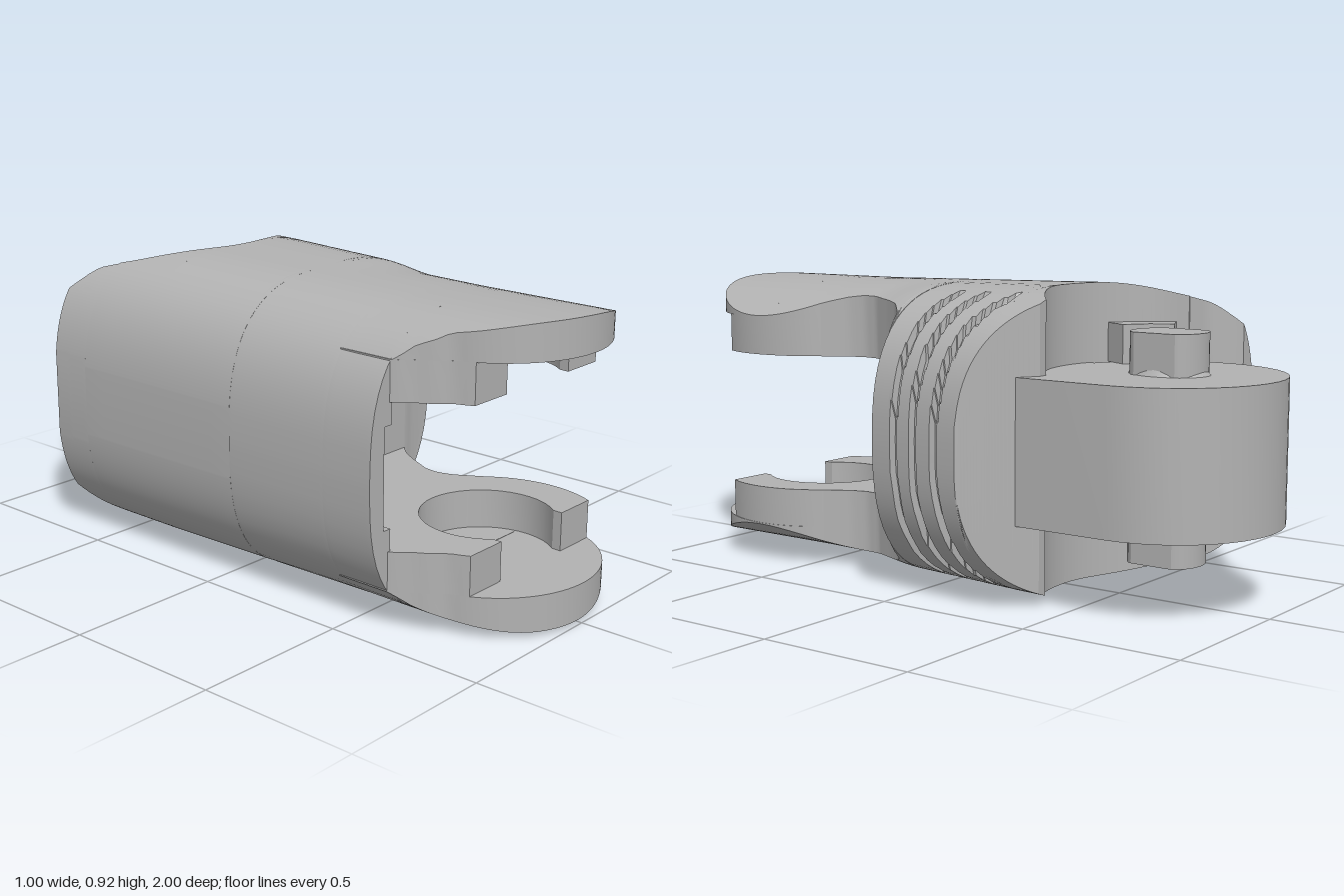
import * as THREE from 'three';
import { toCreasedNormals } from 'three/addons/utils/BufferGeometryUtils.js';

const MID = 0.46;      // height of the symmetry plane
const SLOT = 0.215;    // half height of the tongue and its slot
const POCKET = 0.335;  // half height of the pin pockets
const { smoothstep, lerp, clamp } = THREE.MathUtils;

// piecewise-linear lookup in [[z, x], ...]
function lookup(table, z) {
  if (z <= table[0][0]) return table[0][1];
  for (let i = 1; i < table.length; i++) {
    const [z0, x0] = table[i - 1], [z1, x1] = table[i];
    if (z <= z1) return lerp(x0, x1, (z - z0) / (z1 - z0));
  }
  return table[table.length - 1][1];
}

const rightTable = [[-0.4, 0.28], [-0.26, 0.499], [0.08, 0.455], [0.082, 0.37], [0.1, 0.31], [0.14, 0.27],
  [0.2, 0.235], [0.28, 0.195], [0.33, 0.19], [0.38, 0.205], [0.45, 0.248]];
const leftTable = [[0.63, -0.42], [0.64, -0.42], [0.68, -0.38], [0.73, -0.35], [0.76, -0.318]];
const lobe = z => Math.sqrt(Math.max(0.33 ** 2 - (z - 0.67) ** 2, 1e-6));
const planRight = z => z > 0.45 ? lobe(z) : lookup(rightTable, z);
const planLeft = z => z > 0.76 ? -lobe(z) : lookup(leftTable, z);
const knuckle = z => Math.sqrt(Math.max(0.36 ** 2 - (z + 0.66) ** 2, 0));

// half height of the rounded outer skin
function skin(x, z) {
  const w = 1 - smoothstep(z, 0.09, 0.3);
  const b = lerp(0.459, 0.445, clamp((z + 0.3) / 0.8, 0, 1));
  const bump = (u, p) => Math.pow(Math.max(1 - Math.pow(Math.min(Math.abs(u), 1), p), 0), 1 / p);
  if (x < -0.1) return Math.max(b * bump((x + 0.1) / 0.4, 2.7), 0.01);
  const grip = x < 0 ? 1 : bump(x / (0.455 + (0.08 - z) * 0.13), 2.6);
  return Math.max(b * lerp(bump((x + 0.1) / 0.6, 2.3), grip, w), 0.01);
}

// upper skin from right to left, with the splayed grip grooves pressed in
function skinLine(xl, xr, z, n = 32) {
  const pts = [];
  for (let i = 0; i <= n; i++) {
    const x = lerp(xr, xl, (1 - Math.cos(Math.PI * i / n)) / 2);
    const t = (x - 0.25) / 0.23;
    const cut = x > 0.22 && [[-0.05, -0.01], [-0.15, -0.09], [-0.27, -0.18]]
      .some(([a, b]) => Math.abs(z - lerp(a, b, t)) < 0.013);
    const s = cut ? 0.955 : 1;
    pts.push([x * s, skin(x, z) * s]);
  }
  return pts;
}
const flip = pts => pts.map(([x, y]) => [x, -y]).reverse();

// cross-sections: closed, open on the right side, and one plate
const solid = (xl, xr, z) => { const t = skinLine(xl, xr, z); return [...t, ...flip(t)]; };
const channel = (xl, xr, z, inner) => {
  const t = skinLine(xl, xr, z), i = [[xr, inner[0][1]], ...inner];
  return [...t, ...flip(t), ...flip(i).slice().reverse(), ...i.slice().reverse()];
};
const plate = (xl, xr, z, lo) => [...skinLine(xl, xr, z), [xl, lo], [xr, lo]];

const range = (a, b, n, ease = t => t) => Array.from({ length: n + 1 }, (_, i) => lerp(a, b, ease(i / n)));

// closed solid through cross-sections at rising z
function loft(zs, section) {
  const rings = zs.map(section), n = rings[0].length, pos = [], idx = [];
  rings.forEach((r, k) => r.forEach(([x, y]) => pos.push(x, y + MID, zs[k])));
  for (let k = 0; k < zs.length - 1; k++) {
    for (let i = 0; i < n; i++) {
      const a = k * n + i, b = k * n + (i + 1) % n;
      idx.push(a, b, b + n, a, b + n, a + n);
    }
  }
  const last = (zs.length - 1) * n;
  const caps = r => THREE.ShapeUtils.triangulateShape(r.map(([x, y]) => new THREE.Vector2(x, y)), []);
  caps(rings[0]).forEach(([a, b, c]) => idx.push(a, c, b));
  caps(rings[rings.length - 1]).forEach(([a, b, c]) => idx.push(last + a, last + b, last + c));
  const g = new THREE.BufferGeometry();
  g.setAttribute('position', new THREE.Float32BufferAttribute(pos, 3));
  g.setIndex(idx);
  return g;
}

// upright prism from [x, z] plan points
function prism(points, y0, y1) {
  const shape = new THREE.Shape(points.map(([x, z]) => new THREE.Vector2(x, -z)));
  const g = new THREE.ExtrudeGeometry(shape, { depth: y1 - y0, bevelEnabled: false });
  return g.rotateX(-Math.PI / 2).translate(0, y0, 0);
}

const arc = (cz, r, a0, a1, n) => range(a0, a1, n).map(a => [r * Math.cos(a), cz + r * Math.sin(a)]);

export function createModel() {
  const model = new THREE.Group();
  const grey = new THREE.MeshStandardMaterial({ color: 0xb2b2b2 });
  grey.name = 'grey plastic';
  grey.side = THREE.DoubleSide;
  const add = (name, geometry) => {
    const mesh = new THREE.Mesh(toCreasedNormals(geometry, 0.45), grey);
    mesh.name = name;
    model.add(mesh);
  };
  const groove = [[-0.41, 0.15], [-0.44, 0.15], [-0.44, -0.15], [-0.41, -0.15]];
  const wall = hv => [[-0.41, hv], ...groove, [-0.41, -hv], ];
  // the channel mirrors its own inner line, so keep only the upper half
  const upper = hv => wall(hv).slice(0, 3);
  const tunnel = [[-0.435, 0.15]];

  // body: slotted front, wall with tunnel, solid core with grip
  add('slottedBody', loft(range(0.1, 0.46, 24), z => channel(-0.5, planRight(z), z, upper(SLOT))));
  add('frontWall', loft(range(0.46, 0.63, 10), z => channel(-0.5, planRight(z), z, upper(POCKET))));
  add('tunnelWall', loft(range(-0.53, 0.1, 8), z => channel(-0.497, -0.34, z, tunnel)));
  const coreZ = [...range(-0.3, 0.079, 76), 0.08, 0.082, 0.09, 0.1];
  add('gripBody', loft(coreZ, z => solid(-0.34, planRight(z), z)));

  // back edges around the knuckle cavity
  const easeOut = t => 1 - (1 - t) ** 2;
  add('leftKnuckleEdge', loft(range(-0.53, -0.3, 16, easeOut), z => solid(-0.34, Math.max(-knuckle(z), -0.339), z)));
  add('rightKnuckleEdge', loft(range(-0.4, -0.3, 20, easeOut), z => solid(knuckle(z), planRight(z), z)));
  const tip = [[-0.67, -0.43], [-0.64, -0.41], [-0.59, -0.365], [-0.53, -0.34]];
  add('wallTip', loft(range(-0.67, -0.53, 8), z => channel(-0.495, lookup(tip, z), z, tunnel)));

  // front lobes with open pin sockets, and stops in the knuckle cavity
  const lobeZ = range(0.63, 1, 28, easeOut);
  const lobeSection = z => plate(planLeft(z), planRight(z), z, POCKET);
  const socket = [
    ...range(0.455, 0.82, 14).map(z => [planRight(z) - 0.002, z]),
    [0.15, 0.82], ...arc(0.66, 0.2, 0.71, -Math.PI - 0.71, 28), [-0.15, 0.82],
    ...range(0.82, 0.63, 8).map(z => [planLeft(z), z]), [-0.42, 0.455],
  ];
  const stop = [[-0.31, -0.5], [-0.24, -0.535], [-0.2, -0.47], [-0.13, -0.42], [-0.17, -0.34], [-0.28, -0.4]];
  add('upperLobe', loft(lobeZ, lobeSection));
  add('lowerLobe', loft(lobeZ, z => flip(lobeSection(z))));
  for (const [side, y0] of [['upper', MID + SLOT], ['lower', MID - POCKET]]) {
    add(side + 'PinSocket', prism(socket, y0, y0 + POCKET - SLOT));
    add(side + 'Stop', prism(stop, y0, y0 + POCKET - SLOT));
  }

  // rear tongue
  const tongue = [...arc(-0.66, 0.343, Math.PI * 0.6, Math.PI * 2, 30), [0.343, -0.36], [0.2, -0.28], [-0.1, -0.28]];
  add('tongue', prism(tongue, MID - SLOT, MID + SLOT));

  // pivot pin with two flats and flared roots
  const pinPlan = (r, flat) => arc(-0.66, r, 0, Math.PI * 2, 40).slice(0, -1).map(([x, z]) => [clamp(x, -flat, flat), z]);
  add('pivotPin', prism(pinPlan(0.115, 0.088), MID - 0.338, MID + 0.338));
  for (const s of [1, -1]) {
    const root = new THREE.CylinderGeometry(s > 0 ? 0.1 : 0.125, s > 0 ? 0.125 : 0.1, 0.03, 32);
    add(s > 0 ? 'upperPinRoot' : 'lowerPinRoot', root.scale(0.8, 1, 1).translate(0, MID + s * (SLOT + 0.015), -0.66));
  }
  return model;
}
